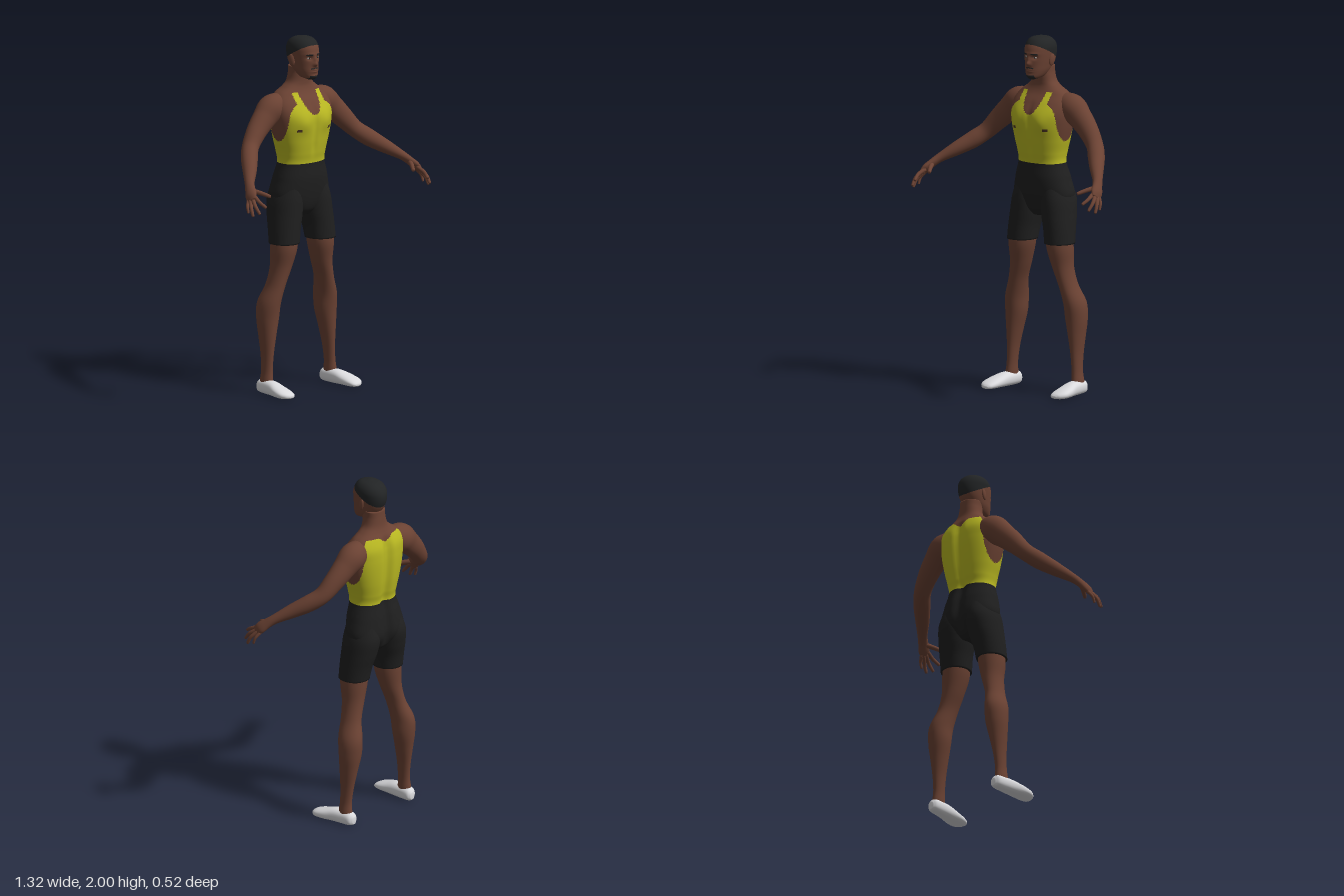
import * as THREE from 'three';

const mat = (name, color) => Object.assign(new THREE.MeshStandardMaterial({ color }), { name });
const skin = mat('skin', 0x6b4233), shirt = mat('shirt yellow', 0xb9b822), black = mat('shorts black', 0x1f1f1f);
const hair = mat('hair', 0x222425), white = mat('shoe white', 0xdadadd), eyeWhite = mat('eye grey', 0x9a8d86);
const nipple = mat('dark brown', 0x4a3422);

const Y = new THREE.Vector3(0, 1, 0), Z = new THREE.Vector3(0, 0, 1);
const gauss = (v, s) => Math.exp(-((v / s) ** 2));
const step = THREE.MathUtils.smoothstep;

// Smooth skin through rows [x, y, z, radiusAcross, radiusAlongRef].
// axis fixes the section normal; otherwise sections follow the path.
function loft(name, rows, mats, o = {}) {
  const { seg = 28, steps = 40, axis, ref = Z, n = 2, deform, paint = () => 0 } = o;
  const curve = pick => new THREE.CatmullRomCurve3(rows.map(pick), false, 'catmullrom', 0.5);
  const path = curve(r => new THREE.Vector3(r[0], r[1], r[2]));
  const size = curve(r => new THREE.Vector3(r[3], r[4], 0));
  const bend = v => Math.sign(v) * Math.abs(v) ** (2 / n);
  const pts = [];
  for (let i = 0; i <= steps; i++) {
    const c = path.getPoint(i / steps), r = size.getPoint(i / steps);
    const T = axis || path.getTangent(i / steps);
    const V = ref.clone().addScaledVector(T, -ref.dot(T)).normalize();
    const U = T.clone().cross(V);
    for (let j = 0; j < seg; j++) {
      const a = j / seg * Math.PI * 2;
      const p = c.clone().addScaledVector(U, bend(Math.cos(a)) * r.x).addScaledVector(V, bend(Math.sin(a)) * r.y);
      if (deform) deform(p);
      pts.push(p);
    }
  }
  const ends = [0, steps].map(i => {
    const m = new THREE.Vector3();
    for (let j = 0; j < seg; j++) m.addScaledVector(pts[i * seg + j], 1 / seg);
    return pts.push(m) - 1;
  });
  const buckets = mats.map(() => []);
  const tri = (a, b, c) => {
    const m = pts[a].clone().add(pts[b]).add(pts[c]).divideScalar(3);
    buckets[paint(m)].push(a, b, c);
  };
  for (let j = 0; j < seg; j++) {
    const k = (j + 1) % seg, last = steps * seg;
    tri(ends[0], j, k);
    for (let i = 0; i < steps; i++) {
      const p = i * seg, q = p + seg;
      tri(p + j, q + j, p + k);
      tri(q + j, q + k, p + k);
    }
    tri(last + j, ends[1], last + k);
  }
  const g = new THREE.BufferGeometry().setFromPoints(pts);
  g.setIndex(buckets.flat());
  let start = 0;
  buckets.forEach((b, i) => { g.addGroup(start, b.length, i); start += b.length; });
  g.computeVertexNormals();
  const mesh = new THREE.Mesh(g, mats.length > 1 ? mats : mats[0]);
  mesh.name = name;
  return mesh;
}

function blob(name, m, pos, scale) {
  const mesh = new THREE.Mesh(new THREE.SphereGeometry(1, 18, 12), m);
  mesh.name = name;
  mesh.position.set(...pos);
  mesh.scale.set(...scale);
  return mesh;
}

// Torso, neck, vest and upper shorts
function torso() {
  const rows = [
    [0, 0.99, -0.135, 0.05, 0.05], [0, 1.03, -0.14, 0.12, 0.085], [0, 1.1, -0.148, 0.185, 0.112],
    [0, 1.2, -0.138, 0.168, 0.113], [0, 1.29, -0.13, 0.143, 0.1], [0, 1.35, -0.13, 0.148, 0.11],
    [0, 1.42, -0.13, 0.165, 0.121], [0, 1.5, -0.13, 0.182, 0.128], [0, 1.57, -0.132, 0.19, 0.128],
    [0, 1.63, -0.145, 0.187, 0.11], [0, 1.68, -0.153, 0.155, 0.082], [0, 1.715, -0.15, 0.105, 0.064],
    [0, 1.745, -0.146, 0.075, 0.058], [0, 1.79, -0.142, 0.062, 0.058], [0, 1.83, -0.14, 0.06, 0.058]];
  const deform = p => {
    const ax = Math.abs(p.x);
    if (p.z < -0.16) { // spine and seat groove
      p.z += 0.024 * gauss(p.x, 0.03) * step(p.y, 1.0, 1.1) * (1 - step(p.y, 1.62, 1.72));
    } else if (p.z > -0.1) { // chest and abdomen
      p.z += 0.012 * gauss(ax - 0.08, 0.05) * gauss(p.y - 1.52, 0.05);
      p.z -= 0.007 * gauss(p.x, 0.015) * step(p.y, 1.3, 1.4) * (1 - step(p.y, 1.58, 1.66));
    }
  };
  const paint = ({ x, y, z }) => {
    const ax = Math.abs(x);
    if (y < 1.29) return 2;
    const armhole = ax > 0.1 && ((z + 0.13) / 0.085) ** 2 + ((y - 1.59) / 0.17) ** 2 < 1;
    const neckline = z > -0.15 ? (x / 0.065) ** 2 + ((y - 1.7) / 0.135) ** 2 < 1
      : y > 1.655 + 0.04 * Math.min(1, ax / 0.06);
    if (y > 1.69 || armhole || neckline) return 0;
    if (z > -0.1 && Math.hypot((ax - 0.107) / 1.6, y - 1.485) < 0.009) return 3;
    return 1;
  };
  return loft('torso', rows, [skin, shirt, black, nipple], { seg: 128, steps: 150, axis: Y, n: 2.35, deform, paint });
}

// Head with face, cropped hair and beard
function head() {
  const g = new THREE.Group();
  g.name = 'head';
  const rows = [
    [0, 1.763, -0.045, 0.018, 0.02], [0, 1.778, -0.068, 0.043, 0.056], [0, 1.81, -0.09, 0.06, 0.08],
    [0, 1.845, -0.104, 0.068, 0.094], [0, 1.88, -0.111, 0.073, 0.102], [0, 1.915, -0.114, 0.076, 0.104],
    [0, 1.945, -0.115, 0.076, 0.098], [0, 1.972, -0.114, 0.066, 0.082], [0, 1.991, -0.111, 0.045, 0.055],
    [0, 2.0, -0.11, 0.008, 0.01]];
  const deform = p => {
    if (p.z < -0.06) return;
    const ax = Math.abs(p.x), y = p.y;
    p.z += 0.018 * gauss(p.x, 0.014) * gauss(y - 1.853, 0.014) + 0.009 * gauss(p.x, 0.009) * gauss(y - 1.878, 0.018);
    p.z -= 0.011 * gauss(ax - 0.03, 0.014) * gauss(y - 1.888, 0.011);
    p.z += 0.004 * gauss(ax - 0.025, 0.025) * gauss(y - 1.908, 0.009);
    p.z += 0.007 * gauss(p.x, 0.022) * gauss(y - 1.814, 0.011) - 0.004 * gauss(p.x, 0.022) * gauss(y - 1.815, 0.003);
    p.z += 0.005 * gauss(p.x, 0.022) * gauss(y - 1.782, 0.012);
  };
  const paint = ({ x, y, z }) => {
    const ax = Math.abs(x);
    if (y > 1.97 + 0.53 * z) return 1;
    if (z < -0.06) return 0;
    const beard = y < 1.788 && ax < 0.028;
    const moustache = ax < 0.026 && Math.abs(y - 1.83 + ax * 0.15) < 0.003;
    const brow = ax > 0.014 && ax < 0.048 && Math.abs(y - 1.907) < 0.0035;
    return beard || moustache || brow ? 1 : 0;
  };
  g.add(loft('skull', rows, [skin, hair], { seg: 120, steps: 130, axis: Y, n: 2.15, deform, paint }));
  for (const s of [1, -1]) {
    g.add(blob('eye', eyeWhite, [s * 0.03, 1.887, -0.03], [0.012, 0.006, 0.01]));
    g.add(blob('pupil', hair, [s * 0.03, 1.887, -0.0225], [0.0045, 0.0045, 0.004]));
    const ear = blob('ear', skin, [s * 0.076, 1.87, -0.118], [0.009, 0.034, 0.019]);
    ear.rotation.set(-0.2, s * -0.3, 0);
    g.add(ear);
  }
  return g;
}

// One arm and hand; s = 1 is the model's left
function arm(s) {
  const g = new THREE.Group();
  g.name = s > 0 ? 'leftArm' : 'rightArm';
  const side = rows => rows.map(([x, ...r]) => [s * x, ...r]);
  g.add(loft('armAndPalm', side([
    [0.1, 1.63, -0.155, 0.055, 0.055], [0.185, 1.605, -0.16, 0.08, 0.075], [0.25, 1.555, -0.155, 0.07, 0.063],
    [0.32, 1.49, -0.142, 0.059, 0.054], [0.385, 1.42, -0.116, 0.048, 0.048], [0.44, 1.37, -0.062, 0.048, 0.047],
    [0.5, 1.322, 0.008, 0.039, 0.04], [0.56, 1.275, 0.075, 0.026, 0.029], [0.587, 1.247, 0.11, 0.022, 0.03],
    [0.609, 1.217, 0.143, 0.02, 0.036], [0.622, 1.193, 0.167, 0.01, 0.028]]), [skin], { steps: 70 }));
  const fingers = {
    indexFinger: [[0.602, 1.213, 0.165], [0.61, 1.19, 0.215], [0.6, 1.166, 0.254]],
    middleFinger: [[0.613, 1.203, 0.16], [0.633, 1.17, 0.205], [0.63, 1.132, 0.238]],
    ringFinger: [[0.62, 1.195, 0.15], [0.645, 1.156, 0.185], [0.65, 1.117, 0.205]],
    littleFinger: [[0.622, 1.192, 0.135], [0.644, 1.16, 0.152], [0.647, 1.128, 0.163]],
    thumb: [[0.588, 1.24, 0.118], [0.56, 1.228, 0.168], [0.532, 1.212, 0.212]]
  };
  for (const [name, [a, b, c]] of Object.entries(fingers)) {
    const k = name === 'littleFinger' ? 0.8 : name === 'thumb' ? 1.2 : 1;
    const tip = c.map((v, i) => v + (c[i] - b[i]) * 0.1);
    const rows = [[...a, 0.012 * k, 0.012 * k], [...b, 0.0105 * k, 0.0105 * k], [...c, 0.008 * k, 0.008 * k], [...tip, 0.003, 0.003]];
    g.add(loft(name, side(rows), [skin], { seg: 12, steps: 15, ref: Y }));
  }
  return g;
}

// One leg with shorts leg and slip-on shoe
function leg(s) {
  const g = new THREE.Group();
  g.name = s > 0 ? 'leftLeg' : 'rightLeg';
  const side = rows => rows.map(([x, ...r]) => [s * x, ...r]);
  g.add(loft('shortsLeg', side([
    [0.088, 1.18, -0.143, 0.07, 0.095], [0.1, 1.09, -0.147, 0.09, 0.112], [0.112, 1.0, -0.138, 0.091, 0.106],
    [0.125, 0.92, -0.126, 0.086, 0.095], [0.133, 0.842, -0.117, 0.083, 0.088]]), [black], { axis: Y.clone().negate(), n: 2.1, seg: 40 }));
  g.add(loft('bareLeg', side([
    [0.128, 0.9, -0.12, 0.076, 0.08], [0.136, 0.81, -0.118, 0.073, 0.079], [0.15, 0.71, -0.126, 0.058, 0.067],
    [0.178, 0.61, -0.138, 0.05, 0.064], [0.207, 0.51, -0.16, 0.06, 0.074], [0.214, 0.42, -0.165, 0.06, 0.068],
    [0.221, 0.32, -0.16, 0.045, 0.056], [0.227, 0.22, -0.154, 0.031, 0.044], [0.232, 0.13, -0.15, 0.027, 0.038],
    [0.236, 0.07, -0.15, 0.031, 0.043], [0.237, 0.03, -0.15, 0.031, 0.043]]), [skin], { axis: Y.clone().negate(), steps: 60 }));
  g.add(loft('shoe', side([
    [0.232, 0.036, -0.215, 0.014, 0.02], [0.235, 0.042, -0.195, 0.034, 0.036], [0.238, 0.043, -0.14, 0.04, 0.04],
    [0.243, 0.041, -0.08, 0.045, 0.039], [0.251, 0.033, -0.02, 0.052, 0.031], [0.253, 0.026, 0.03, 0.05, 0.023],
    [0.248, 0.021, 0.06, 0.035, 0.015], [0.243, 0.018, 0.073, 0.014, 0.006]]),
  [white], { axis: Z, ref: Y, n: 2.3, deform: p => { p.y = Math.max(p.y - 0.006, 0); } }));
  return g;
}

export function createModel() {
  const model = new THREE.Group();
  model.name = 'athlete';
  model.add(torso(), head());
  for (const s of [1, -1]) model.add(arm(s), leg(s));
  return model;
}
